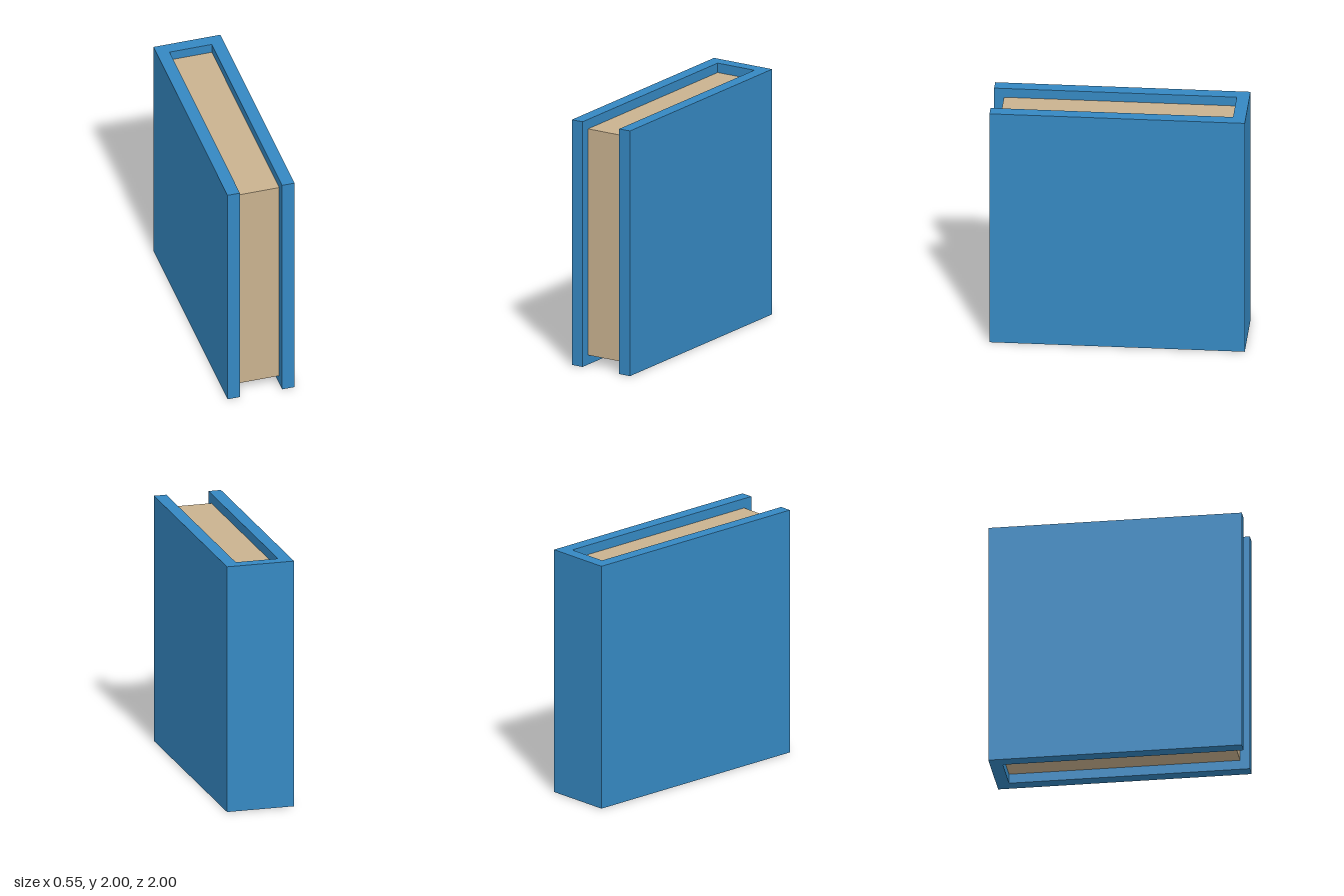
import * as THREE from 'three';

export function createModel() {
  const group = new THREE.Group();
  const coverBlue = new THREE.MeshStandardMaterial({ color: 0x3588c2 });
  const paperTan = new THREE.MeshStandardMaterial({ color: 0xc9b28f });

  const outer = 0.273, inner = 0.172; // half widths outside and inside the cover
  const spineZ = -0.9; // inner face of the spine

  // Cover: two boards and a spine as one U outline (shape y is -z), extruded upwards
  const outline = new THREE.Shape([
    [-outer, -1], [-inner, -1], [-inner, -spineZ], [inner, -spineZ],
    [inner, -1], [outer, -1], [outer, 1], [-outer, 1],
  ].map(([x, y]) => new THREE.Vector2(x, y)));
  const coverGeometry = new THREE.ExtrudeGeometry(outline, { depth: 2, bevelEnabled: false });
  coverGeometry.rotateX(-Math.PI / 2);
  const cover = new THREE.Mesh(coverGeometry, coverBlue);
  cover.name = 'cover';
  group.add(cover);

  // Page block: set back from the top, bottom and front edges of the cover
  const pageFront = 0.923, pageHeight = 1.846;
  const pages = new THREE.Mesh(
    new THREE.BoxGeometry(inner * 2, pageHeight, pageFront - spineZ), paperTan);
  pages.position.set(0, 1, (pageFront + spineZ) / 2);
  pages.name = 'pages';
  group.add(pages);

  return group;
}
